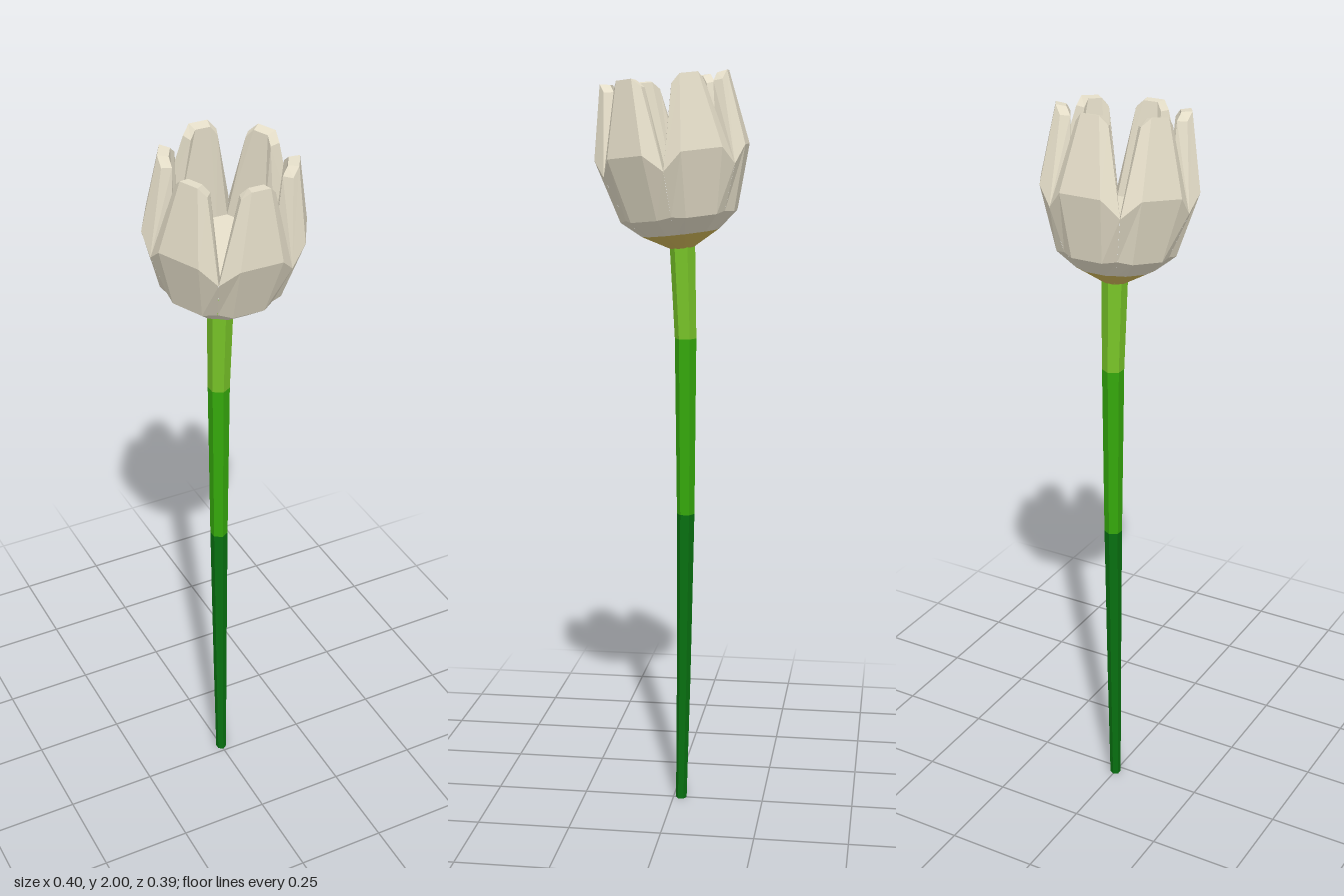
import * as THREE from 'three';

const mat = (name, color) => {
  const m = new THREE.MeshStandardMaterial({ color, flatShading: true });
  m.name = name;
  return m;
};

// Flat-sided surface from a list of polygons (each fanned into triangles)
function facets(name, polygons, material) {
  const pos = [];
  for (const p of polygons)
    for (let i = 1; i < p.length - 1; i++) pos.push(...p[0], ...p[i], ...p[i + 1]);
  const geo = new THREE.BufferGeometry();
  geo.setAttribute('position', new THREE.Float32BufferAttribute(pos, 3));
  geo.computeVertexNormals();
  const mesh = new THREE.Mesh(geo, material);
  mesh.name = name;
  return mesh;
}

// Mirrored row of five points: edge, corner, middle, corner, edge
function row(edge, corner) {
  const flip = ([x, y, z]) => [-x, y, z];
  return [flip(edge), flip(corner), [0, corner[1], corner[2]], corner, edge];
}

// Quads between consecutive rows
function strips(rows) {
  const out = [];
  for (let r = 0; r < rows.length - 1; r++)
    for (let c = 0; c < 4; c++)
      out.push([rows[r][c], rows[r][c + 1], rows[r + 1][c + 1], rows[r + 1][c]]);
  return out;
}

export function createModel() {
  const flower = new THREE.Group();
  flower.name = 'flower';
  const cream = mat('petal cream', 0xe4ddc8);
  const yellow = mat('base yellow', 0xcdb458);
  const greens = [
    mat('dark green', 0x087010),
    mat('mid green', 0x35a80c),
    mat('light green', 0x78c428),
  ];

  // Stem: slightly bowed hexagonal rings [y, z, radius]
  const rings = [
    [0, -0.022, 0.015], [0.35, -0.028, 0.019], [0.82, -0.033, 0.024],
    [1.3, -0.032, 0.029], [1.55, -0.023, 0.034],
  ].map(([y, z, r]) => Array.from({ length: 6 }, (_, i) => {
    const a = (i * Math.PI) / 3;
    return [Math.sin(a) * r, y, z + Math.cos(a) * r];
  }));
  const band = (a, b) => rings[a].map((p, i) => {
    const j = (i + 1) % 6;
    return [p, rings[a][j], rings[b][j], rings[b][i]];
  });
  flower.add(
    facets('lowerStem', [[...rings[0]].reverse(), ...band(0, 1), ...band(1, 2)], greens[0]),
    facets('middleStem', band(2, 3), greens[1]),
    facets('upperStem', [...band(3, 4), rings[4]], greens[2]),
  );

  // Petal cross-rows: base, cup, notch level, tip, then back down the inside
  const base = row([0.015, 0, 0.026], [0.009, 0, 0.03]);
  const lower = row([0.05, 0.04, 0.0866], [0.029, 0.04, 0.1]);
  const cup = row([0.075, 0.088, 0.13], [0.043, 0.083, 0.15]);
  const belly = row([0.0985, 0.205, 0.171], [0.057, 0.25, 0.198]);
  const tip = row([0.045, 0.42, 0.155], [0.025, 0.442, 0.167]);
  const tipInner = row([0.036, 0.418, 0.13], [0.02, 0.438, 0.14]);
  const floor = row([0.07, 0.19, 0.121], [0.04, 0.19, 0.121]);

  const petalFaces = [
    ...strips([lower, cup, belly, tip, tipInner, floor]),
    [belly[4], floor[4], tipInner[4], tip[4]],
    [belly[0], tip[0], tipInner[0], floor[0]],
    [floor[0], floor[4], [0, 0.19, 0]],
  ];

  // Head: six petals round a slightly nodding axis
  const head = new THREE.Group();
  head.name = 'flowerHead';
  head.position.set(0, 1.54, -0.024);
  head.rotation.x = 0.11;
  for (let i = 0; i < 6; i++) {
    const segment = new THREE.Group();
    segment.name = 'petalSegment';
    segment.rotation.y = (i * Math.PI) / 3;
    segment.add(
      facets('petal', petalFaces, cream),
      facets('petalBase', [...strips([base, lower]), [[0, 0, 0], base[4], base[0]]], yellow),
    );
    head.add(segment);
  }
  flower.add(head);
  return flower;
}
